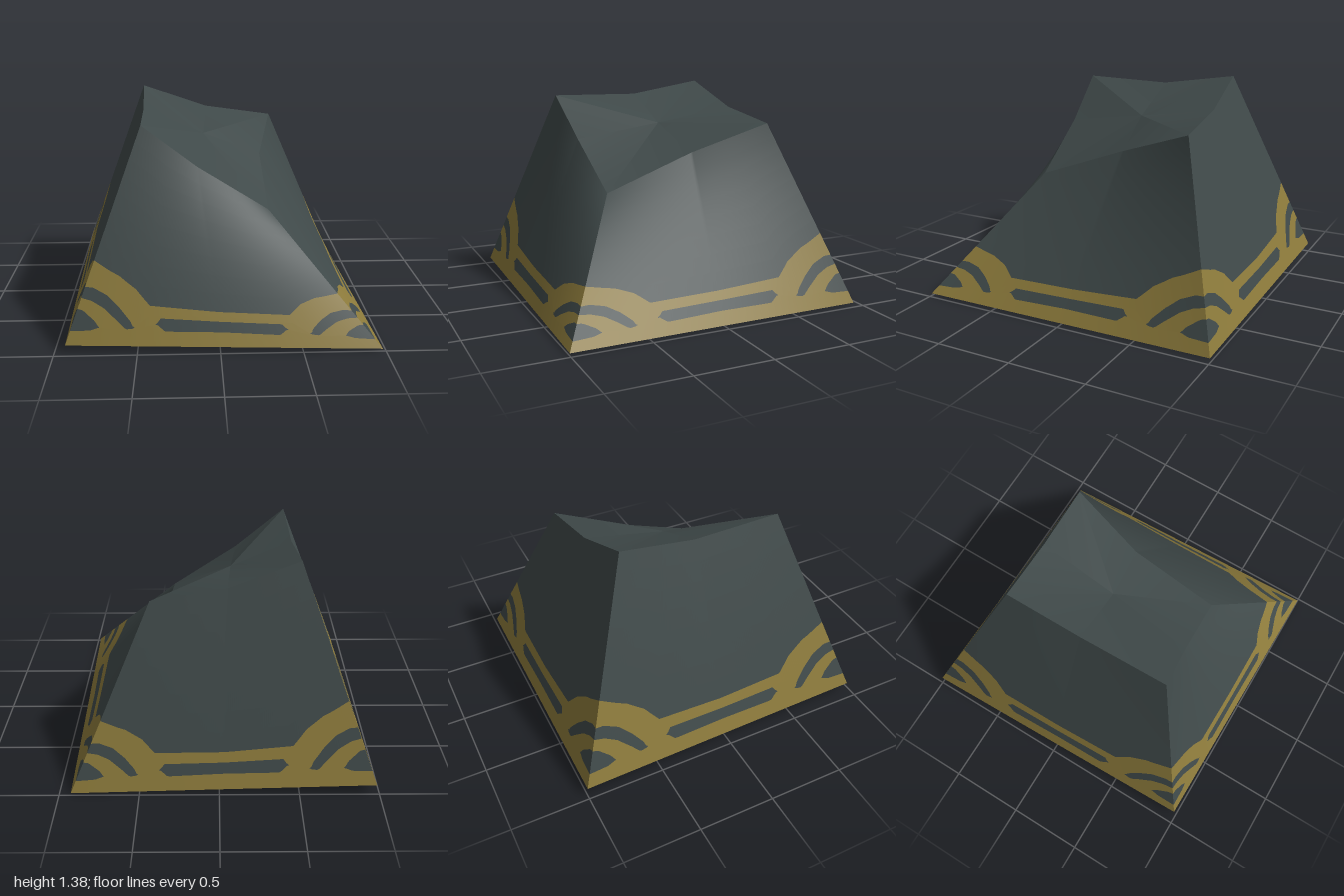
import * as THREE from 'three';
import { mergeGeometries } from 'three/addons/utils/BufferGeometryUtils.js';

const V = (x, y, z) => new THREE.Vector3(x, y, z);
const mix = (a, b, t) => a.clone().lerp(b, t);

// Corners in order front left, front right, back right, back left (as seen from the front)
const base = [V(-0.93, 0.06, 0.98), V(0.98, 0.015, 1), V(0.93, 0, -0.98), V(-0.98, 0.07, -1)];
const crown = [V(-0.47, 1.31, 0.58), V(0.32, 0.75, 0.51), V(0.42, 1.15, -0.6), V(-0.5, 1.38, -0.53)];
// Bent middles of the crown edges: front, right, back, left
const middles = [V(-0.13, 1.04, 0.54), V(0.31, 0.97, -0.09), V(-0.05, 1.22, -0.57), V(-0.48, 1.3, -0.02)];
const crownCentre = V(-0.08, 1.13, -0.03);

// Trim outlines as [u, v] points over half a side, mirrored about u = 0.5
const outlines = [
  [[0, 0], [0.5, 0]],
  [[0, 0.065], [0.065, 0.07], [0.09, 0.085], [0.18, 0.075], [0.205, 0.08], [0.28, 0.11], [0.31, 0.075], [0.5, 0.08]],
  [[0, 0.165], [0.02, 0.16], [0.07, 0.115], [0.09, 0.085], [0.18, 0.075], [0.205, 0.08], [0.28, 0.11], [0.29, 0.14], [0.5, 0.137]],
  [[0, 0.215], [0.04, 0.205], [0.09, 0.175], [0.145, 0.12], [0.18, 0.08], [0.205, 0.085], [0.25, 0.15], [0.5, 0.165]],
  [[0, 0.265], [0.03, 0.265], [0.09, 0.235], [0.145, 0.18], [0.19, 0.12], [0.205, 0.085], [0.25, 0.15], [0.5, 0.165]],
  [[0, 0.385], [0.08, 0.345], [0.115, 0.33], [0.19, 0.275], [0.25, 0.2], [0.5, 0.19]],
  [[0, 1], [0.5, 1]],
];

function heightAt(line, u) {
  const x = Math.min(u, 1 - u);
  const i = Math.max(1, line.findIndex(p => p[0] >= x - 1e-9));
  const [a, b] = [line[i - 1], line[i]];
  return a[1] + (b[1] - a[1]) * (x - a[0]) / (b[0] - a[0]);
}

// Grid surface from a point function of column and row, leaving out collapsed cells
function surface(columns, rows, point) {
  const points = [], index = [];
  for (let i = 0; i <= columns; i++)
    for (let j = 0; j <= rows; j++) points.push(point(i, j));
  const add = (a, b, c) => {
    const area = points[b].clone().sub(points[a]).cross(points[c].clone().sub(points[a])).length();
    if (area > 1e-8) index.push(a, b, c);
  };
  for (let i = 0; i < columns; i++)
    for (let j = 0; j < rows; j++) {
      const a = i * (rows + 1) + j, b = a + rows + 1;
      add(a, b, b + 1);
      add(a, b + 1, a + 1);
    }
  const geometry = new THREE.BufferGeometry().setFromPoints(points);
  geometry.setIndex(index);
  geometry.computeVertexNormals();
  return geometry;
}

export function createModel() {
  const stone = new THREE.MeshStandardMaterial({ color: 0x3f4949 });
  stone.name = 'dark slate';
  const gold = new THREE.MeshStandardMaterial({ color: 0x8c7a3b });
  gold.name = 'old gold';

  const model = new THREE.Group();
  model.name = 'trimmedBlock';
  const addMesh = (parent, name, geometry, material) => {
    const mesh = new THREE.Mesh(geometry, material);
    mesh.name = name;
    parent.add(mesh);
  };

  // Four leaning sides, each cut into alternating gold and dark bands
  ['front', 'right', 'back', 'left'].forEach((name, s) => {
    const e = (s + 1) % 4;
    const sidePoint = (u, v) => {
      const low = mix(base[s], base[e], u);
      const high = u < 0.5 ? mix(crown[s], middles[s], u * 2) : mix(middles[s], crown[e], u * 2 - 1);
      return low.lerp(high, v);
    };
    const columns = 120;
    const bands = outlines.slice(1).map((upper, k) => {
      const rows = k === 5 ? 8 : 1;
      return surface(columns, rows, (i, j) => {
        const u = i / columns, low = heightAt(outlines[k], u);
        return sidePoint(u, low + (heightAt(upper, u) - low) * j / rows);
      });
    });
    const side = new THREE.Group();
    side.name = name + 'Side';
    addMesh(side, name + 'Trim', mergeGeometries(bands.filter((_, k) => k % 2 === 0)), gold);
    addMesh(side, name + 'Panel', mergeGeometries(bands.filter((_, k) => k % 2 === 1)), stone);
    model.add(side);
  });

  // Sagging crown: a fan of eight triangles around its centre
  const rim = crown.flatMap((p, i) => [p, middles[i]]);
  addMesh(model, 'crown', surface(8, 1, (i, j) => j ? crownCentre.clone() : rim[i % 8].clone()), stone);

  // Underside: narrow gold border with clipped inner corners around a dark panel
  const floor = (s, t) => mix(mix(base[0], base[1], s), mix(base[3], base[2], s), t);
  const a = 0.03, b = 0.075;
  const inner = [[b, a], [a, b], [a, 1 - b], [b, 1 - a], [1 - b, 1 - a], [1 - a, 1 - b], [1 - a, b], [1 - b, a]];
  addMesh(model, 'undersideBorder', surface(8, 1, (i, j) => {
    const [s, t] = inner[i % 8];
    return j ? floor(s, t) : floor(Math.round(s), Math.round(t));
  }), gold);
  addMesh(model, 'undersidePanel', surface(8, 1, (i, j) => j ? floor(0.5, 0.5) : floor(...inner[i % 8])), stone);

  return model;
}
